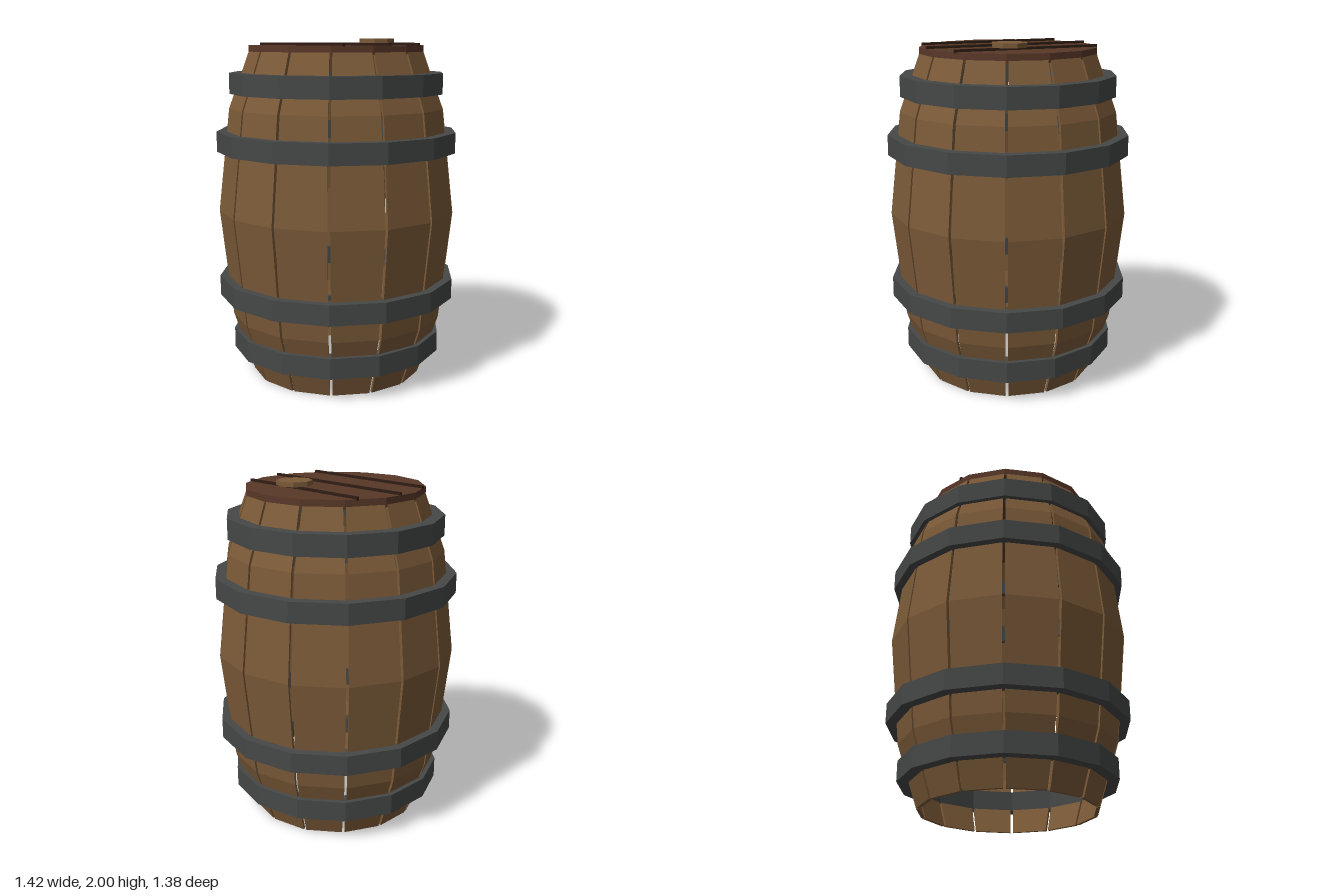
import * as THREE from 'three';

const SIDES = 14;
const HALF = Math.PI / SIDES;
const mat = (color) => new THREE.MeshStandardMaterial({ color, flatShading: true });

function add(parent, name, geometry, material, x = 0, y = 0, z = 0) {
  const mesh = new THREE.Mesh(geometry, material);
  mesh.name = name;
  mesh.position.set(x, y, z);
  parent.add(mesh);
  return mesh;
}

// One bulged plank facing +z: a four-cornered section swept up the [y, radius] profile
function staveGeometry(profile, thickness, gap) {
  const pos = [];
  const rings = profile.map(([y, r]) => {
    const ri = r - thickness;
    const wo = r * Math.sin(HALF) - gap / 2, wi = ri * Math.sin(HALF) - gap / 2;
    const zo = r * Math.cos(HALF), zi = ri * Math.cos(HALF);
    return [[-wo, y, zo], [wo, y, zo], [wi, y, zi], [-wi, y, zi]];
  });
  const quad = (a, b, c, d) => pos.push(...a, ...b, ...c, ...a, ...c, ...d);
  for (let i = 0; i < rings.length - 1; i++) {
    for (let j = 0; j < 4; j++) {
      const k = (j + 1) % 4;
      quad(rings[i][j], rings[i][k], rings[i + 1][k], rings[i + 1][j]);
    }
  }
  const bottom = rings[0], top = rings[rings.length - 1];
  quad(bottom[3], bottom[2], bottom[1], bottom[0]);
  quad(top[0], top[1], top[2], top[3]);
  const geometry = new THREE.BufferGeometry();
  geometry.setAttribute('position', new THREE.Float32BufferAttribute(pos, 3));
  geometry.computeVertexNormals();
  return geometry;
}

// Faceted ring with a rectangular section
function hoopGeometry(inner, outer, height) {
  const h = height / 2;
  const section = [[inner, -h], [outer, -h], [outer, h], [inner, h], [inner, -h]];
  return new THREE.LatheGeometry(section.map(([x, y]) => new THREE.Vector2(x, y)), SIDES, Math.PI / 2);
}

export function createModel() {
  const group = new THREE.Group();
  group.name = 'barrel';
  const wood = mat(0x7b5a38), lidWood = mat(0x593828), seamWood = mat(0x2e1c13), iron = mat(0x454847);

  // Staves
  const staves = new THREE.Group();
  staves.name = 'staves';
  group.add(staves);
  const profile = [[0, 0.515], [0.36, 0.635], [1, 0.705], [1.6, 0.635], [1.925, 0.515]];
  const stave = staveGeometry(profile, 0.02, 0.016);
  for (let i = 0; i < SIDES; i++) {
    add(staves, 'stave', stave, wood).rotation.y = i * 2 * HALF;
  }

  // Iron hoops
  const endHoop = hoopGeometry(0.545, 0.63, 0.12);
  const bellyHoop = hoopGeometry(0.62, 0.71, 0.118);
  add(group, 'lowerEndHoop', endHoop, iron, 0, 0.205);
  add(group, 'lowerBellyHoop', bellyHoop, iron, 0, 0.54);
  add(group, 'upperBellyHoop', bellyHoop, iron, 0, 1.408);
  add(group, 'upperEndHoop', endHoop, iron, 0, 1.745);

  // Lid with plank seams and bung
  const lid = new THREE.CylinderGeometry(0.515, 0.515, 0.05, SIDES, 1, false, Math.PI / 2);
  add(group, 'lid', lid, lidWood, 0, 1.936);
  for (const [x, length] of [[-0.257, 0.87], [0, 1], [0.257, 0.87]]) {
    add(group, 'lidSeam', new THREE.BoxGeometry(0.015, 0.02, length), seamWood, x, 1.965, 0);
  }
  add(group, 'bung', new THREE.CylinderGeometry(0.103, 0.103, 0.026, 8), wood, 0.222, 1.987, 0.095);

  return group;
}
